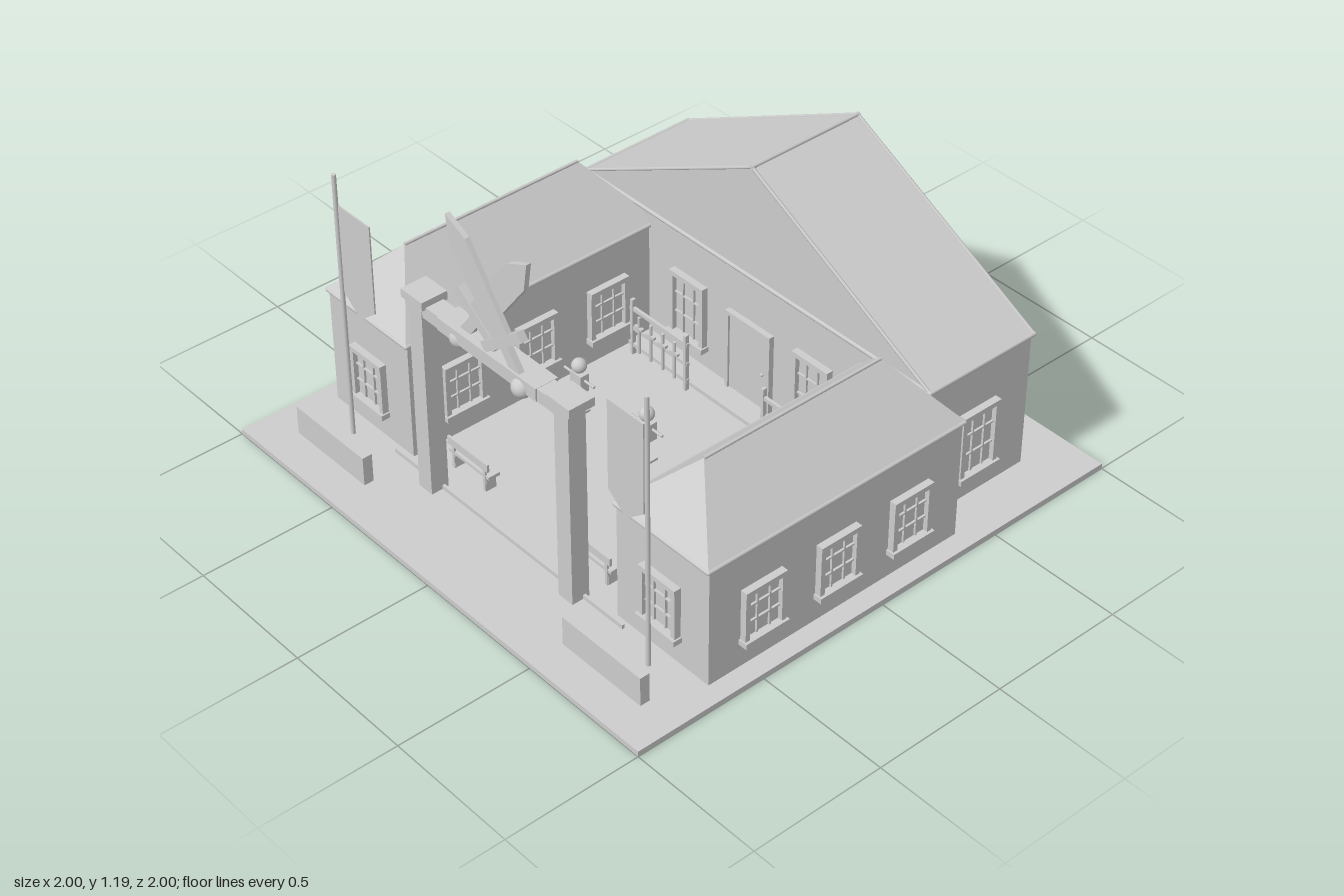
import * as THREE from 'three';

const stone = new THREE.MeshStandardMaterial({ color: 0xcccccc });
stone.name = 'plain grey';

function add(parent, name, geo, x = 0, y = 0, z = 0) {
  const m = new THREE.Mesh(geo, stone);
  m.name = name;
  m.position.set(x, y, z);
  parent.add(m);
  return m;
}

// Box given by its extents
function box(parent, name, x0, x1, y0, y1, z0, z1) {
  return add(parent, name, new THREE.BoxGeometry(x1 - x0, y1 - y0, z1 - z0),
    (x0 + x1) / 2, (y0 + y1) / 2, (z0 + z1) / 2);
}

// Round bar between two points
function bar(parent, name, a, b, r, sides = 8) {
  const p = new THREE.Vector3(...a), q = new THREE.Vector3(...b);
  const m = add(parent, name, new THREE.CylinderGeometry(r, r, p.distanceTo(q), sides));
  m.position.copy(p).lerp(q, 0.5);
  m.quaternion.setFromUnitVectors(new THREE.Vector3(0, 1, 0), q.sub(p).normalize());
  return m;
}

// Flat outline extruded along z, centred on z = 0
function plate(points, depth) {
  const shape = new THREE.Shape(points.map(p => new THREE.Vector2(...p)));
  const g = new THREE.ExtrudeGeometry(shape, { depth, bevelEnabled: false });
  return g.translate(0, 0, -depth / 2);
}

function group(parent, name, x = 0, y = 0, z = 0, ry = 0) {
  const g = new THREE.Group();
  g.name = name;
  g.position.set(x, y, z);
  g.rotation.y = ry;
  parent.add(g);
  return g;
}

// Framed window of nine panes, facing +z before turning
function windowUnit(parent, x, y0, z, ry, h) {
  const g = group(parent, 'window', x, y0, z, ry), w = 0.083;
  box(g, 'pane', -w + 0.01, w - 0.01, 0.01, h - 0.01, -0.005, 0.006);
  for (const s of [-1, 1]) {
    box(g, 'frameSide', s * (w - 0.009) - 0.009, s * (w - 0.009) + 0.009, 0, h, 0, 0.024);
    box(g, 'mullion', s * 0.026 - 0.003, s * 0.026 + 0.003, 0.015, h - 0.015, 0, 0.014);
    box(g, 'glazingBar', -w + 0.015, w - 0.015, h / 2 + s * h / 6.5 - 0.003, h / 2 + s * h / 6.5 + 0.003, 0, 0.014);
  }
  box(g, 'frameTop', -w, w, h - 0.018, h, 0, 0.026);
  box(g, 'sill', -w - 0.006, w + 0.006, -0.008, 0.012, 0, 0.034);
}

// Closed ring of round trim along a rectangle
function eaves(parent, x0, x1, z0, z1, y, r) {
  const c = [[x0, y, z0], [x1, y, z0], [x1, y, z1], [x0, y, z1]];
  c.forEach((p, i) => {
    bar(parent, 'eaveTrim', p, c[(i + 1) % 4], r);
    add(parent, 'eaveCorner', new THREE.SphereGeometry(r, 8, 6), ...p);
  });
}

// Hipped roof: a box whose top edge is pulled in to a ridge
function hipRoof(w, h, len, ridgeFront, ridgeBack) {
  const g = new THREE.BoxGeometry(w, h, len).toNonIndexed();
  const p = g.attributes.position;
  for (let i = 0; i < p.count; i++) if (p.getY(i) > 0) {
    p.setX(i, 0);
    p.setZ(i, p.getZ(i) > 0 ? ridgeFront : ridgeBack);
  }
  g.computeVertexNormals();
  return g;
}

function buildHall(root) {
  const g = group(root, 'mainHall');
  box(g, 'hallWalls', -0.815, 0.815, 0.02, 0.54, -0.81, -0.362);
  add(g, 'hallRoof', plate([[-0.825, 0.542], [0.825, 0.542], [0, 0.968]], 0.465), 0, 0, -0.5825);
  eaves(g, -0.822, 0.822, -0.815, -0.35, 0.542, 0.008);
  for (const z of [-0.815, -0.35]) {
    for (const s of [-1, 1]) bar(g, 'gableTrim', [s * 0.822, 0.542, z], [0, 0.968, z], 0.006);
  }
  bar(g, 'ridgeTrim', [0, 0.968, -0.82], [0, 0.968, -0.345], 0.008);
  for (let i = -2; i <= 2; i++) windowUnit(g, i * 0.3, 0.115, -0.81, Math.PI, 0.255);
  for (const s of [-1, 1]) {
    windowUnit(g, s * 0.3, 0.115, -0.362, 0, 0.255);
    windowUnit(g, s * 0.815, 0.115, -0.58, s * Math.PI / 2, 0.255);
  }
  // Porch step and door
  box(g, 'porchStep', -0.51, 0.51, 0.02, 0.036, -0.365, -0.265);
  box(g, 'door', -0.095, 0.095, 0.036, 0.34, -0.365, -0.35);
  for (const s of [-1, 1]) box(g, 'doorJamb', s * 0.1 - 0.007, s * 0.1 + 0.007, 0.036, 0.352, -0.365, -0.342);
  box(g, 'doorLintel', -0.107, 0.107, 0.337, 0.352, -0.365, -0.341);
  add(g, 'doorKnob', new THREE.SphereGeometry(0.007, 8, 6), 0.07, 0.18, -0.346);
}

function buildWing(root, s) {
  const g = group(root, s > 0 ? 'leftWing' : 'rightWing', s * 0.72);
  box(g, 'wingWalls', -0.208, 0.208, 0.02, 0.47, -0.39, 0.66);
  add(g, 'wingRoof', hipRoof(0.43, 0.21, 1.07, 0.362, -0.362), 0, 0.578, 0.135);
  eaves(g, -0.21, 0.21, -0.395, 0.665, 0.47, 0.008);
  bar(g, 'ridgeTrim', [0, 0.683, -0.227], [0, 0.683, 0.497], 0.006);
  for (const z of [0.45, 0.142, -0.168]) {
    for (const d of [-1, 1]) windowUnit(g, d * 0.208, 0.12, z, d * Math.PI / 2, 0.205);
  }
  windowUnit(g, 0, 0.12, 0.66, 0, 0.205);
}

// Sword hanging tip up along +y from a tip at the origin
function sword(parent, s, z) {
  const g = group(parent, 'crossedSword', -s * 0.182, 1.19, z);
  g.rotation.z = s * Math.atan2(0.6, 0.8);
  add(g, 'blade', plate([[0, 0], [-0.0475, -0.09], [-0.0475, -0.41], [0.0475, -0.41], [0.0475, -0.09]], 0.018));
  box(g, 'crossguard', -0.112, 0.112, -0.438, -0.402, -0.014, 0.014);
  box(g, 'grip', -0.02, 0.02, -0.55, -0.43, -0.011, 0.011);
  add(g, 'pommel', new THREE.SphereGeometry(0.036, 20, 14), 0, -0.568, 0.006);
}

function buildGate(root) {
  const g = group(root, 'gate');
  for (const s of [-1, 1]) {
    const x = s * 0.352;
    box(g, 'gatePillar', x - 0.033, x + 0.033, 0.02, 0.772, 0.667, 0.735);
    box(g, 'pillarCap', x - 0.053, x + 0.053, 0.77, 0.802, 0.647, 0.747);
  }
  box(g, 'gateBeam', -0.32, 0.32, 0.73, 0.778, 0.663, 0.732);
  box(g, 'swordMount', -0.238, 0.238, 0.731, 0.779, 0.65, 0.737);
  box(g, 'threshold', -0.57, 0.57, 0.02, 0.036, 0.682, 0.692);
  sword(g, 1, 0.718);
  sword(g, -1, 0.703);
}

function buildYardSide(root, s) {
  // Banner on its pole, and the low wall in front
  const f = group(root, 'banner', s * 0.741, 0, 0.735);
  bar(f, 'bannerPole', [0, 0.02, 0], [0, 1.05, 0], 0.008, 12);
  const edge = [[0.014, 0.94], [0.174, 0.94], [0.174, 0.605], [0.094, 0.54], [0.014, 0.605]];
  add(f, 'bannerCloth', plate(edge.map(([x, y]) => [-s * x, y]), 0.005));
  box(root, 'lowWall', s * 0.68 - 0.18, s * 0.68 + 0.18, 0.02, 0.13, 0.833, 0.87);

  // Bench with its back to the gate
  const b = group(root, 'bench', s * 0.302, 0, 0.575);
  box(b, 'benchSeat', -0.103, 0.103, 0.075, 0.087, -0.026, 0.02);
  box(b, 'benchBack', -0.103, 0.103, 0.11, 0.14, 0.016, 0.025);
  for (const d of [-1, 1]) {
    box(b, 'benchLeg', d * 0.08 - 0.007, d * 0.08 + 0.007, 0.02, 0.076, -0.022, 0.018);
    box(b, 'backPost', d * 0.08 - 0.006, d * 0.08 + 0.006, 0.02, 0.135, 0.014, 0.021);
  }

  // Weapon rack: spears on one side, round shields on the other
  const r = group(root, 'weaponRack', s * 0.325, 0, -0.243);
  for (const d of [-1, 1]) box(r, 'rackPost', d * 0.135 - 0.006, d * 0.135 + 0.006, 0.02, 0.248, -0.008, 0.008);
  for (const y of [0.06, 0.13, 0.21]) box(r, 'rackRail', -0.145, 0.145, y - 0.007, y + 0.007, -0.006, 0.006);
  for (let i = 0; i < 4; i++) {
    const x = -0.09 + i * 0.06;
    if (s < 0) {
      bar(r, 'trainingSword', [x, 0.05, 0.012], [x, 0.2, 0.012], 0.006);
      box(r, 'swordGuard', x - 0.02, x + 0.02, 0.15, 0.16, 0.006, 0.018);
    } else {
      const m = add(r, 'shield', new THREE.CylinderGeometry(0.026, 0.03, 0.012, 20), x, 0.14, 0.014);
      m.rotation.x = Math.PI / 2;
    }
  }
}

function trainingDummy(root, x) {
  const g = group(root, 'trainingDummy', x, 0, 0.095);
  box(g, 'dummyBase', -0.028, 0.028, 0.02, 0.029, -0.022, 0.022);
  bar(g, 'dummyPost', [0, 0.02, 0], [0, 0.2, 0], 0.007);
  box(g, 'dummyBody', -0.028, 0.028, 0.11, 0.18, -0.018, 0.018);
  bar(g, 'dummyArms', [-0.076, 0.158, 0], [0.076, 0.158, 0], 0.005);
  add(g, 'dummyHead', new THREE.SphereGeometry(0.027, 18, 12), 0, 0.207, 0);
}

export function createModel() {
  const root = new THREE.Group();
  root.name = 'trainingBarracks';
  box(root, 'groundSlab', -1, 1, 0, 0.02, -1, 1);
  buildHall(root);
  buildGate(root);
  for (const s of [-1, 1]) {
    buildWing(root, s);
    buildYardSide(root, s);
  }
  for (const x of [-0.34, 0, 0.34]) trainingDummy(root, x);
  return root;
}
